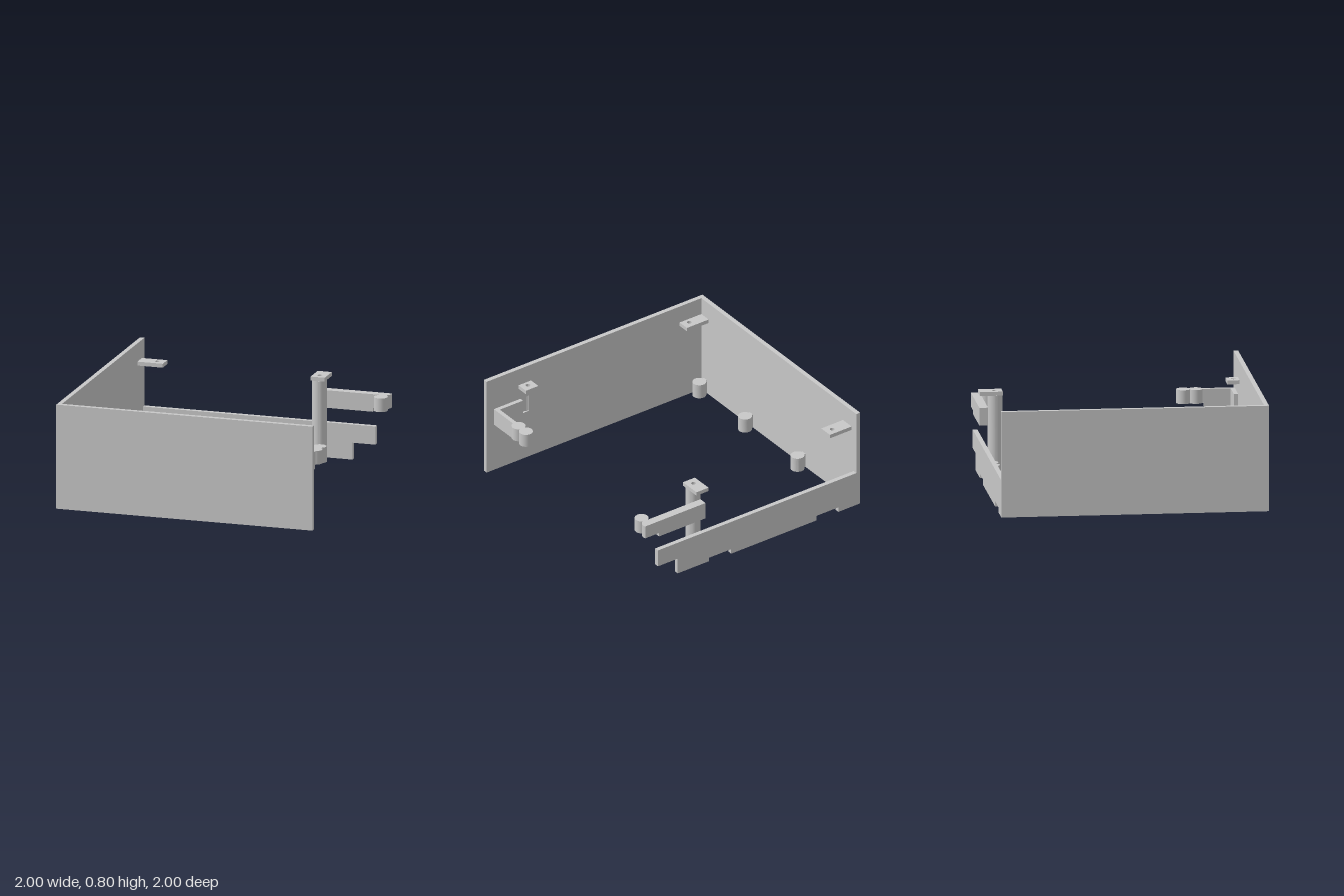
import * as THREE from 'three';
import { toCreasedNormals } from 'three/addons/utils/BufferGeometryUtils.js';

const plastic = new THREE.MeshStandardMaterial({ color: 0xc8c8c8 });
plastic.name = 'light grey plastic';

export function createModel() {
  const model = new THREE.Group();
  model.name = 'halfEnclosure';

  const add = (name, geometry) => {
    const mesh = new THREE.Mesh(geometry, plastic);
    mesh.name = name;
    model.add(mesh);
  };

  // Box given by its limits on each axis
  const box = (name, x0, x1, y0, y1, z0, z1) => {
    const g = new THREE.BoxGeometry(x1 - x0, y1 - y0, z1 - z0);
    g.translate((x0 + x1) / 2, (y0 + y1) / 2, (z0 + z1) / 2);
    add(name, g);
  };

  // Upright prism from a plan outline (shape y is -z)
  const prism = (name, shape, y0, y1) => {
    const g = new THREE.ExtrudeGeometry(shape, { depth: y1 - y0, bevelEnabled: false, curveSegments: 20 });
    g.rotateX(-Math.PI / 2);
    g.translate(0, y0, 0);
    add(name, toCreasedNormals(g, 0.6));
  };

  // Side profile (x, y) extruded along z
  const plate = (name, points, z0, z1) => {
    const shape = new THREE.Shape(points.map(p => new THREE.Vector2(...p)));
    const g = new THREE.ExtrudeGeometry(shape, { depth: z1 - z0, bevelEnabled: false });
    g.translate(0, 0, z0);
    add(name, g);
  };

  const circleHole = (shape, x, z, r) => {
    const hole = new THREE.Path();
    hole.absarc(x, -z, r, 0, Math.PI * 2, true);
    shape.holes.push(hole);
  };

  const tube = (name, x, z, r, inner, y0, y1) => {
    const shape = new THREE.Shape();
    shape.absarc(x, -z, r, 0, Math.PI * 2, false);
    circleHole(shape, x, z, inner);
    prism(name, shape, y0, y1);
  };

  const R = 0.052;
  const solidPeg = (name, x, z, y0, y1) => {
    const g = new THREE.CylinderGeometry(R, R, y1 - y0, 40);
    g.translate(x, (y0 + y1) / 2, z);
    add(name, g);
  };

  // Peg with a blind hole from below
  const hollowPeg = (name, x, z, y0, y1) => {
    tube(name, x, z, R, 0.024, y0, y1 - 0.02);
    solidPeg(name + 'Cap', x, z, y1 - 0.02, y1);
  };

  // Flat screw tab with a round hole
  const tab = (name, x0, x1, z0, z1, hx, hz) => {
    const shape = new THREE.Shape();
    shape.moveTo(x0, -z1);
    shape.lineTo(x1, -z1);
    shape.lineTo(x1, -z0);
    shape.lineTo(x0, -z0);
    shape.closePath();
    circleHole(shape, hx, hz, 0.018);
    prism(name, shape, 0.63, 0.66);
  };

  // Front wall, with a short round recess beside the bracket
  const W = 0.965;
  const recessed = new THREE.Shape();
  recessed.moveTo(-1, -1);
  recessed.lineTo(1, -1);
  recessed.lineTo(1, -W);
  const a = Math.acos((W - 0.925) / 0.055);
  recessed.absarc(0.65, -0.925, 0.055, -Math.PI / 2 + a, -Math.PI / 2 - a, true);
  recessed.lineTo(-1, -W);
  recessed.closePath();
  box('frontWallLower', -1, 1, 0, 0.4, W, 1);
  prism('frontWallMiddle', recessed, 0.4, 0.535);
  box('frontWallUpper', -1, 1, 0.535, 0.8, W, 1);

  // Side wall
  box('sideWall', -1, -W, 0, 0.8, -1, W);

  // Low back wall with notches over the peg pairs
  plate('backWall', [
    [-W, 0], [-0.8, 0], [-0.8, 0.04], [-0.6, 0.04], [-0.6, 0], [0.18, 0], [0.18, 0.04],
    [0.385, 0.04], [0.385, 0.01], [0.67, 0.01], [0.67, 0.14], [0.85, 0.14], [0.85, 0.28], [-W, 0.28],
  ], -1, -W);

  // Pegs along the side wall
  for (const z of [-0.91, -0.335, 0.33, 0.91]) {
    hollowPeg('sidePeg', -0.907, z, 0, 0.115);
    box('sidePegRib', -0.967, -0.945, 0, 0.115, z - 0.02, z + 0.02);
  }

  // Peg pairs along the back wall
  for (const x of [-0.745, -0.65, 0.23, 0.325]) {
    hollowPeg('backPeg', x, -0.92, 0.04, 0.14);
  }

  // Screw tabs
  tab('frontRightTab', -W, -0.767, 0.872, 0.967, -0.827, 0.925);
  tab('backRightTab', -W, -0.767, -0.94, -0.83, -0.827, -0.886);
  tab('frontLeftTab', 0.593, 0.708, 0.872, 0.967, 0.65, 0.925);
  tab('postTab', 0.388, 0.498, -1, -0.828, 0.442, -0.886);

  // Free-standing hollow post
  tube('post', 0.442, -0.88, 0.055, 0.032, 0, 0.63);

  // Back arm with its peg pair, the rear one cut flush
  plate('backArm', [
    [0.415, 0.4], [0.84, 0.4], [0.84, 0.43], [0.93, 0.43], [0.93, 0.535], [0.415, 0.535],
  ], -1, -0.935);
  solidPeg('backArmPeg', 0.918, -0.886, 0.43, 0.535);
  const cut = new THREE.Shape();
  const c = Math.asin(0.02 / R);
  cut.absarc(0.918, 0.98, R, Math.PI - c, Math.PI * 2 + c, false);
  cut.closePath();
  prism('backArmCutPeg', cut, 0.43, 0.535);

  // Front bracket: strip beside the wall, arm reaching back, peg pair
  box('bracketStrip', 0.69, 0.905, 0.4, 0.535, 0.933, 0.967);
  box('bracketArm', 0.902, 0.934, 0.4, 0.535, 0.735, 0.967);
  box('bracketArmTip', 0.902, 0.934, 0.43, 0.535, 0.7, 0.735);
  for (const z of [0.58, 0.674]) solidPeg('bracketPeg', 0.918, z, 0.43, 0.535);

  return model;
}
